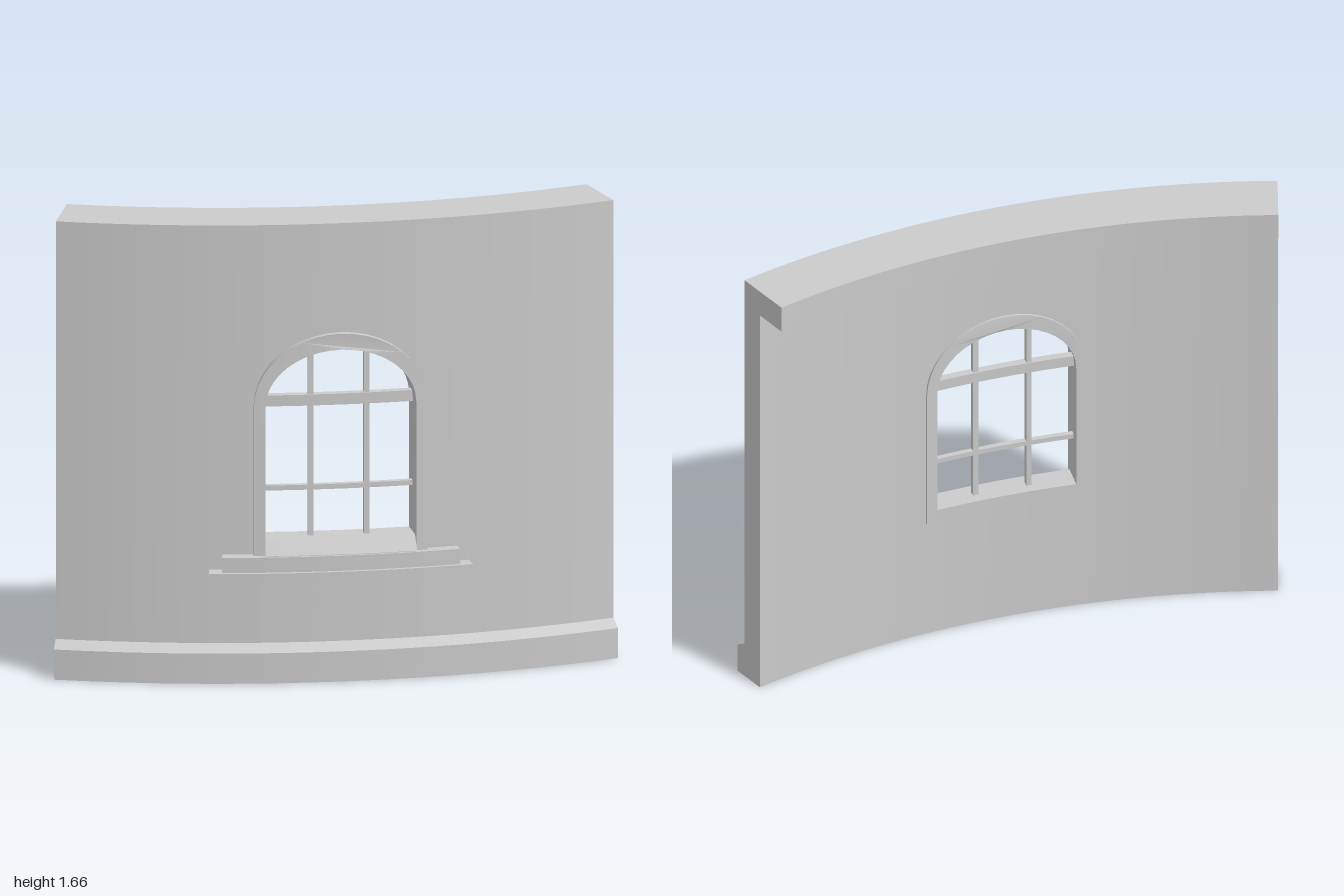
import * as THREE from 'three';
import { toCreasedNormals } from 'three/addons/utils/BufferGeometryUtils.js';

const R = 3.2;            // radius of the wall's outer face
const CENTRE_Z = 0.15 - R;
const HALF = 1.0;         // half arc length of the wall
const HEIGHT = 1.66;
const BACK = -0.09;       // depth of the wall's inner face
const SPRING = 1.0;       // height where the window arch starts

const material = new THREE.MeshStandardMaterial({ color: 0xcccccc });

// Wrap (arc length, height, depth) coordinates around the curve of the wall
function bend(geometry) {
  const p = geometry.attributes.position;
  for (let i = 0; i < p.count; i++) {
    const a = p.getX(i) / R, r = R + p.getZ(i);
    p.setXYZ(i, r * Math.sin(a), p.getY(i), CENTRE_Z + r * Math.cos(a));
  }
  return toCreasedNormals(geometry, 0.5);
}

function addMesh(group, name, geometry) {
  const mesh = new THREE.Mesh(bend(geometry), material);
  mesh.name = name;
  group.add(mesh);
}

// Curved block; bottom and top may be numbers or functions of (u, depth)
function band(group, name, [u0, u1], bottom, top, [d0, d1], segments = 12, ease = t => t) {
  const at = (f, u, d) => (typeof f === 'function' ? f(u, d) : f);
  const g = new THREE.BoxGeometry(1, 1, 1, segments, 1, 1);
  const p = g.attributes.position;
  for (let i = 0; i < p.count; i++) {
    const u = THREE.MathUtils.lerp(u0, u1, ease(p.getX(i) + 0.5));
    const d = p.getZ(i) > 0 ? d1 : d0;
    p.setXYZ(i, u, at(p.getY(i) > 0 ? top : bottom, u, d), d);
  }
  addMesh(group, name, g);
}

function archPoints(halfWidth, rise, n = 20) {
  return Array.from({ length: n + 1 }, (_, i) => {
    const a = (Math.PI * i) / n;
    return new THREE.Vector2(halfWidth * Math.cos(a), SPRING + rise * Math.sin(a));
  });
}

export function createModel() {
  const model = new THREE.Group();
  model.name = 'curvedWallWithWindow';

  // Wall, in four pieces around the opening
  const wall = new THREE.Group();
  wall.name = 'wall';
  const open = 0.285, rise = 0.232;
  const archY = u => SPRING + rise * Math.sqrt(Math.max(0, 1 - (u / open) ** 2));
  const depth = [BACK, 0];
  band(wall, 'wallRight', [-HALF, -open], 0, HEIGHT, depth);
  band(wall, 'wallLeft', [open, HALF], 0, HEIGHT, depth);
  band(wall, 'wallBelowWindow', [-open, open], 0, 0.49, depth);
  band(wall, 'wallAboveWindow', [-open, open], archY, HEIGHT, depth, 20,
    t => 0.5 - 0.5 * Math.cos(Math.PI * t));
  model.add(wall);

  // Ledge along the top of the inner face, and sloped plinth on the outer face
  band(model, 'topLedge', [-HALF, HALF], 1.56, HEIGHT, [-0.217, BACK], 24);
  band(model, 'plinth', [-HALF, HALF], 0, (u, d) => (d > 0.01 ? 0.11 : 0.137), [0, 0.04], 24);

  // Arched frame lining the opening
  const frame = new THREE.Group();
  frame.name = 'windowFrame';
  const frameBack = BACK - 0.008, frameFront = 0.022;
  const shape = new THREE.Shape([
    new THREE.Vector2(0.305, 0.46), ...archPoints(0.305, 0.263),
    new THREE.Vector2(-0.305, 0.46), new THREE.Vector2(-0.265, 0.46),
    ...archPoints(0.265, 0.205).reverse(), new THREE.Vector2(0.265, 0.46),
  ]);
  const arch = new THREE.ExtrudeGeometry(shape, { depth: frameFront - frameBack, bevelEnabled: false });
  arch.translate(0, 0, frameBack);
  addMesh(frame, 'frameArch', arch);
  band(frame, 'frameBottom', [-0.265, 0.265], 0.46, 0.512, [frameBack, 0], 8);
  model.add(frame);

  // Window bars
  const bars = new THREE.Group();
  bars.name = 'windowBars';
  for (const u of [-0.1, 0.1]) {
    band(bars, 'verticalBar', [u - 0.01, u + 0.01], 0.5, 1.21, [-0.06, -0.04], 1);
  }
  band(bars, 'lowerCrossBar', [-0.275, 0.275], 0.68, 0.698, [-0.06, -0.04], 8);
  band(bars, 'upperCrossBar', [-0.275, 0.275], 0.988, 1.028, [-0.065, -0.035], 8);
  model.add(bars);

  // Stepped sill with a sloping ledge
  const sill = new THREE.Group();
  sill.name = 'windowSill';
  band(sill, 'sillSlope', [-0.265, 0.265], 0.45, (u, d) => (d > 0.01 ? 0.462 : 0.512), [0, 0.035], 8);
  band(sill, 'sillUpperStep', [-0.415, 0.415], 0.405, 0.46, [-0.01, 0.044], 12);
  band(sill, 'sillLowerStep', [-0.46, 0.46], 0.355, 0.405, [-0.01, 0.057], 12);
  model.add(sill);

  return model;
}
